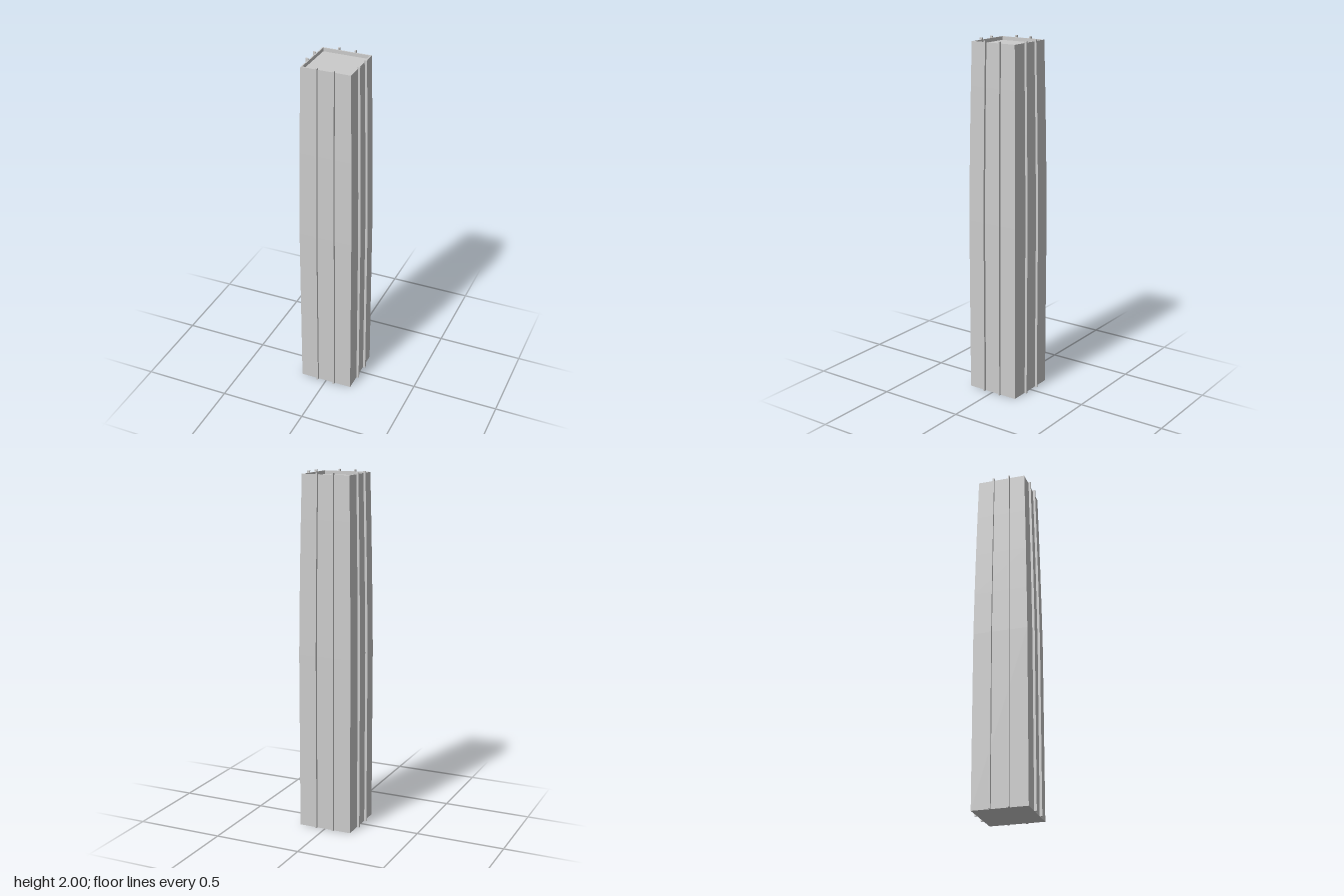
import * as THREE from 'three';

const material = new THREE.MeshStandardMaterial({ color: 0xcccccc, flatShading: true });
const BASE = 0.155; // half width of the shaft below the taper
const BODY_TOP = 1.99;
const LEVELS = [0, 1.0, 1.25, 1.5, 1.75, 2.0];

// Width factor at a height: straight below, then gently drawn in
function taper(y) {
  const t = Math.max(0, (y - 1.0) / 1.0);
  return 1 - 0.105 * (0.6 * t + 0.4 * t * t);
}

// Skins a list of square or rectangular rings, each four [x, y, z] corners
function loft(rings) {
  const pos = rings.flat(2);
  const index = [];
  const last = (rings.length - 1) * 4;
  for (let r = 0; r < rings.length - 1; r++) {
    for (let i = 0; i < 4; i++) {
      const a = r * 4 + i, b = r * 4 + (i + 1) % 4;
      index.push(a, b, b + 4, a, b + 4, a + 4);
    }
  }
  index.push(0, 2, 1, 0, 3, 2, last, last + 1, last + 2, last, last + 2, last + 3);
  const g = new THREE.BufferGeometry();
  g.setAttribute('position', new THREE.Float32BufferAttribute(pos, 3));
  g.setIndex(index);
  const flat = g.toNonIndexed();
  flat.computeVertexNormals();
  return flat;
}

// Rectangle at height y, counter-clockwise seen from above
const ring = (x0, x1, z0, z1, y, s = 1) =>
  [[x0, y, z1], [x1, y, z1], [x1, y, z0], [x0, y, z0]].map(([x, h, z]) => [x * s, h, z * s]);

function part(name, geometry) {
  const mesh = new THREE.Mesh(geometry, material);
  mesh.name = name;
  return mesh;
}

export function createModel() {
  const model = new THREE.Group();
  model.name = 'tower';

  // Shaft, closing in a thin parapet around a sunken roof
  const square = (h, y) => ring(-h, h, -h, h, y);
  const shaftRings = LEVELS.map((y) => {
    const h = Math.min(y, BODY_TOP);
    return square(BASE * taper(h), h);
  });
  const inner = BASE * taper(BODY_TOP) - 0.007;
  shaftRings.push(square(inner, BODY_TOP), square(inner, BODY_TOP - 0.02));
  model.add(part('shaft', loft(shaftRings)));

  // Two slim fins on each face, following the taper to just above the parapet
  for (let side = 0; side < 4; side++) {
    const pair = new THREE.Group();
    pair.name = 'finPair' + (side + 1);
    for (const x of [-0.052, 0.052]) {
      const rings = LEVELS.map((y) => ring(x - 0.005, x + 0.005, 0.152, 0.169, y, taper(y)));
      pair.add(part('fin', loft(rings)));
    }
    pair.rotation.y = side * Math.PI / 2;
    model.add(pair);
  }
  return model;
}
